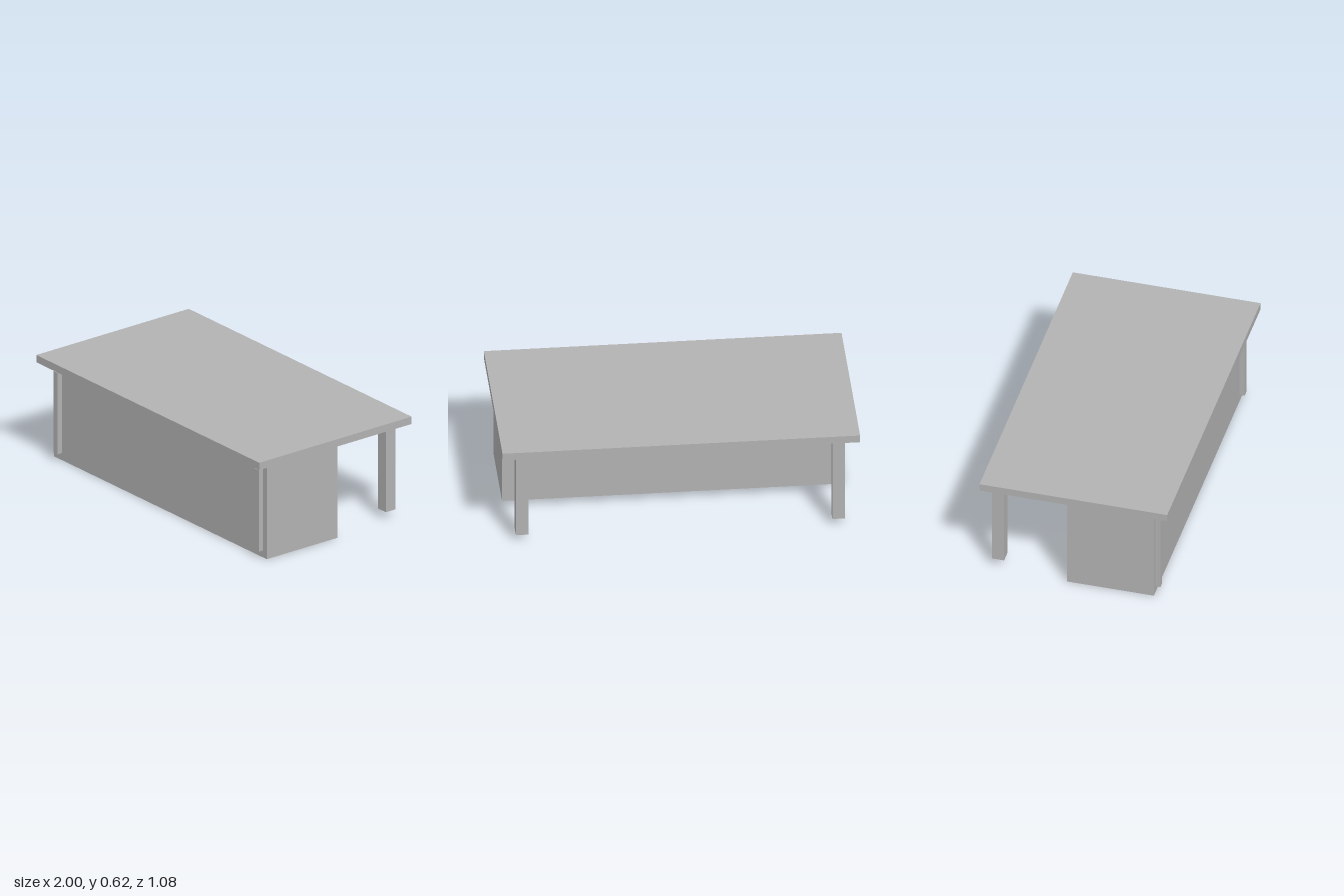
import * as THREE from 'three';

const grey = new THREE.MeshStandardMaterial({ color: 0xb2b2b2 });
grey.name = 'grey';

// Box given by its minimum and maximum corner
function box(name, [x0, y0, z0], [x1, y1, z1]) {
  const mesh = new THREE.Mesh(new THREE.BoxGeometry(x1 - x0, y1 - y0, z1 - z0), grey);
  mesh.position.set((x0 + x1) / 2, (y0 + y1) / 2, (z0 + z1) / 2);
  mesh.name = name;
  return mesh;
}

export function createModel() {
  const desk = new THREE.Group();
  desk.name = 'desk';

  // Overhanging top and the solid body below its front half
  desk.add(box('tableTop', [-1, 0.574, -0.541], [1, 0.618, 0.541]));
  desk.add(box('cabinet', [-0.955, 0, -0.05], [0.955, 0.574, 0.452]));

  // Rear legs and front trim strips, one of each per side
  for (const [side, s] of [['left', 1], ['right', -1]]) {
    const leg = box(side + 'RearLeg', [0.85, 0.047, -0.49], [0.92, 0.574, -0.421]);
    const strip = box(side + 'FrontStrip', [0.884, 0.042, 0.452], [0.922, 0.532, 0.481]);
    leg.position.x *= s;
    strip.position.x *= s;
    desk.add(leg, strip);
  }
  return desk;
}
